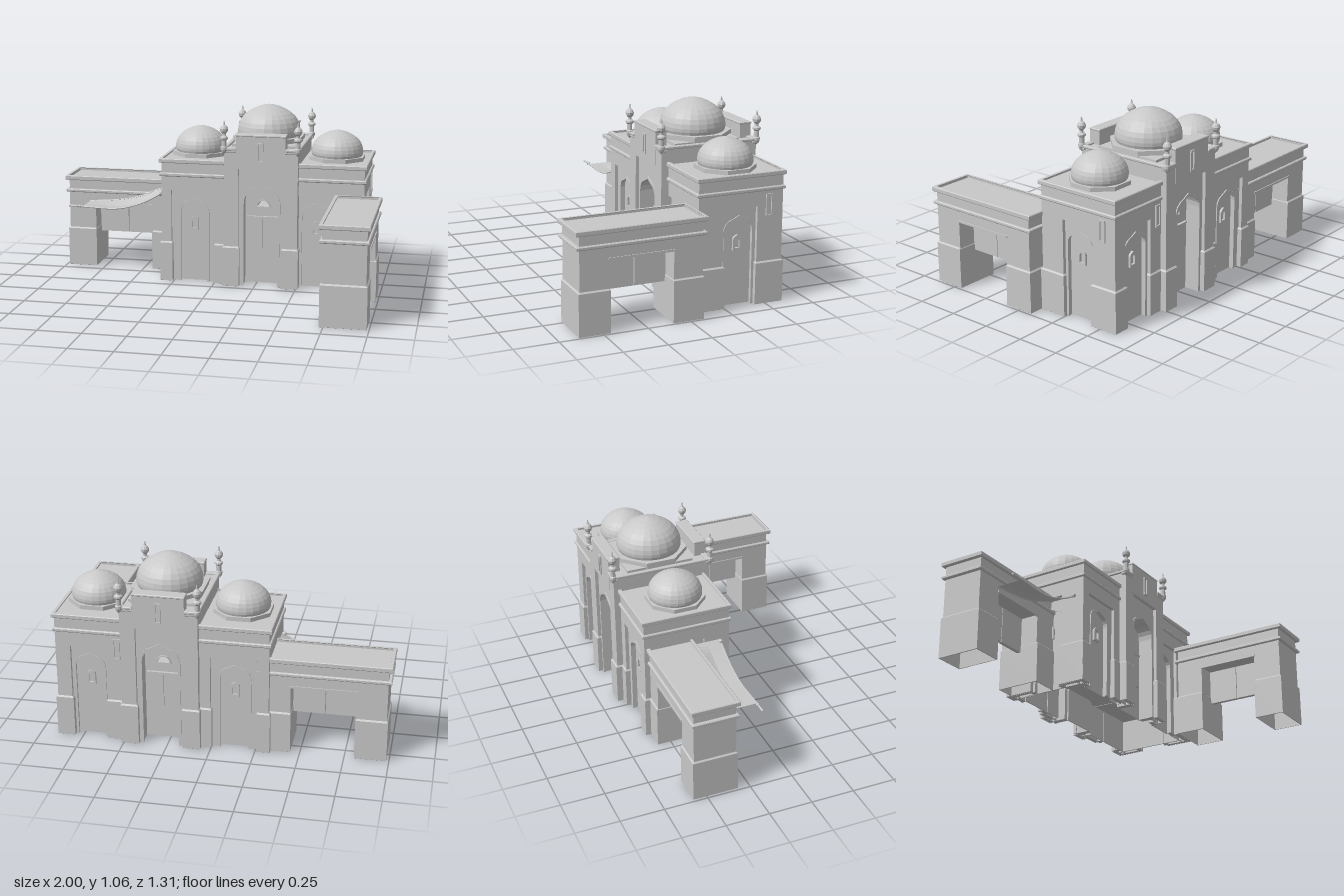
import * as THREE from 'three';

const stone = new THREE.MeshStandardMaterial({ color: 0xc8c8c8, flatShading: true, side: THREE.DoubleSide });
stone.name = 'grey stone';
const FLOOR = 0.2; // the base is an open shell below this height

function add(parent, name, geometry, x = 0, y = 0, z = 0) {
  const m = new THREE.Mesh(geometry, stone);
  m.name = name;
  m.position.set(x, y, z);
  parent.add(m);
  return m;
}

// box given by its extents
function block(parent, name, x0, x1, y0, y1, z0, z1) {
  add(parent, name, new THREE.BoxGeometry(x1 - x0, y1 - y0, z1 - z0), (x0 + x1) / 2, (y0 + y1) / 2, (z0 + z1) / 2);
}

function group(parent, name, x, z, turn = 0) {
  const g = new THREE.Group();
  g.name = name;
  g.position.set(x, 0, z);
  g.rotation.y = turn;
  parent.add(g);
  return g;
}

const extrude = (shape, depth) => new THREE.ExtrudeGeometry(shape, { depth, bevelEnabled: false });
const points = list => list.map(p => new THREE.Vector2(p[0], p[1]));
const plan = (x0, x1, z0, z1, i) => points([[x0 + i, -z0 - i], [x1 - i, -z0 - i], [x1 - i, -z1 + i], [x0 + i, -z1 + i]]);

// chamfered flat slab, or an open rim when t is given
function slab(parent, name, x0, x1, y0, y1, z0, z1, b = 0.005, t = 0) {
  const s = new THREE.Shape(plan(x0, x1, z0, z1, b));
  if (t) s.holes.push(new THREE.Path(plan(x0, x1, z0, z1, t - b)));
  const g = new THREE.ExtrudeGeometry(s, { depth: y1 - y0 - 2 * b, bevelSize: b, bevelThickness: b, bevelSegments: 1 });
  add(parent, name, g, 0, y0 + b, 0).rotation.x = -Math.PI / 2;
}

// hollow plinth with a chamfered top
function plinth(parent, x0, x1, z0, z1) {
  slab(parent, 'plinth', x0, x1, 0, 0.236, z0, z1, 0.001, 0.007);
  slab(parent, 'plinthCap', x0, x1, 0.22, 0.244, z0, z1, 0.008);
}

// pointed arch outline from bottom left to bottom right
function archPath(c, half, base, spring, apex) {
  const d = apex - spring;
  const side = [[1, 0], [0.96, 0.28], [0.85, 0.5], [0.65, 0.68], [0.32, 0.82]];
  const up = side.map(([u, v]) => [c - u * half, spring + v * d]);
  const down = side.map(([u, v]) => [c + u * half, spring + v * d]).reverse();
  return [[c - half, base], ...up, [c, apex], ...down, [c + half, base]];
}
const rectPath = (c, half, base, top) => [[c - half, base], [c - half, top], [c + half, top], [c + half, base]];

// wall with one opening that reaches its lower edge
const notched = (u0, u1, h, path) =>
  new THREE.Shape(points([[u0, path[0][1]], ...path, [u1, path[0][1]], [u1, h], [u0, h]]));

// raised border around an outline
function border(parent, name, outer, inner, z, depth) {
  const s = new THREE.Shape(points(outer));
  s.holes.push(new THREE.Path(points(inner)));
  add(parent, name, extrude(s, depth), 0, 0, z);
}

// stepped facade: outer wall, recessed panel, recessed arch and plinths; z = 0 is the wall face
function facade(g, { u0, u1, h, c, panel, top, arch, spring, apex, deep }) {
  const back = -0.02 - deep;
  add(g, 'outerWall', extrude(notched(u0, u1, h, rectPath(c, panel, 0, top)), 0.02), 0, 0, -0.02);
  add(g, 'archWall', extrude(notched(Math.max(u0, c - panel - 0.01), Math.min(u1, c + panel + 0.01), top + 0.01,
    archPath(c, arch, 0, spring, apex)), deep), 0, 0, back);
  block(g, 'nicheBack', c - arch - 0.01, c + arch + 0.01, 0, FLOOR + 0.01, back - 0.008, back);
  const strip = [...archPath(c, arch + 0.008, 0, spring, apex + 0.01),
    ...archPath(c, arch - 0.006, 0, spring, apex - 0.008).reverse()];
  add(g, 'archMoulding', extrude(new THREE.Shape(points(strip)), 0.014), 0, 0, -0.028);
  for (const [a, b] of [[u0 - 0.008, c - panel + 0.008], [c + panel - 0.008, u1 + 0.008]]) {
    if (b - a > 0.03) plinth(g, a, b, -0.05, 0.009);
  }
}

function slit(g, c, half, y0, y1, z) {
  border(g, 'slitFrame', rectPath(c, half, y0, y1), rectPath(c, half - 0.007, y0 + 0.009, y1 - 0.009), z, 0.01);
}

function dome(parent, name, x, z, y, r, h, base) {
  const ring = base / Math.cos(Math.PI / 8);
  add(parent, name + 'Base', new THREE.CylinderGeometry(ring, ring, 0.024, 8), x, y, z).rotation.y = Math.PI / 8;
  const profile = [[0.96, 0], [0.995, 0.1], [1, 0.2], [0.975, 0.34], [0.92, 0.48], [0.83, 0.61], [0.7, 0.73],
    [0.54, 0.83], [0.36, 0.915], [0.17, 0.97], [0, 1]].map(([a, b]) => new THREE.Vector2(a * r, b * h));
  add(parent, name, new THREE.LatheGeometry(profile, 24), x, y + 0.01, z);
}

// side hall with bands, roof and dome
function hall(parent, name, x0, x1, domeX) {
  const g = group(parent, name, 0, 0);
  block(g, 'core', x0 + 0.045, x1 - 0.045, FLOOR, 0.735, -0.555, -0.135);
  block(g, 'roof', x0, x1, 0.56, 0.74, -0.6, -0.09);
  slab(g, 'lowerBand', x0 - 0.011, x1 + 0.011, 0.645, 0.667, -0.611, -0.079);
  slab(g, 'cornice', x0 - 0.014, x1 + 0.014, 0.727, 0.753, -0.612, -0.078, 0.004, 0.024);
  dome(g, 'sideDome', domeX, -0.34, 0.756, 0.155, 0.154, 0.16);
}

// gate wing along local x, centred on its gate
function wing(parent, name, x, z, turn) {
  const g = group(parent, name, x, z, turn);
  add(g, 'wingWall', extrude(notched(-0.352, 0.352, 0.56, rectPath(0, 0.183, 0.225, 0.41)), 0.244), 0, 0, -0.122);
  for (const s of [-1, 1]) {
    plinth(g, s > 0 ? 0.18 : -0.36, s > 0 ? 0.36 : -0.18, -0.13, 0.13);
    block(g, 'gateLeaf', s > 0 ? 0.002 : -0.184, s > 0 ? 0.184 : -0.002, 0.2, 0.41, -0.012, 0.012);
    block(g, 'gateLintel', -0.19, 0.19, 0.4, 0.412, s * 0.122 - 0.005, s * 0.122 + 0.005);
  }
  slab(g, 'wingBand', -0.371, 0.371, 0.47, 0.491, -0.135, 0.135);
  slab(g, 'wingCornice', -0.374, 0.374, 0.547, 0.575, -0.139, 0.139, 0.004, 0.024);
}

function portal(parent) {
  const g = group(parent, 'portal', 0.285, -0.341);
  const w = 0.22, d = 0.295;
  const lunette = [[-0.036, 0.472], [-0.031, 0.49], [-0.018, 0.503], [0, 0.509], [0.018, 0.503], [0.031, 0.49], [0.036, 0.472]];
  const body = new THREE.Shape(points([[-w, FLOOR], [w, FLOOR], [w, 0.83], [-w, 0.83]]));
  body.holes.push(new THREE.Path(points(lunette)));
  add(g, 'core', extrude(body, 2 * (d - 0.11)), 0, 0, -d + 0.11);
  for (const s of [1, -1]) {
    const f = group(g, s > 0 ? 'portalFront' : 'portalBack', 0, s * d, s > 0 ? 0 : Math.PI);
    facade(f, { u0: -w, u1: w, h: 0.83, c: 0, panel: 0.134, top: 0.715, arch: 0.108, spring: 0.51, apex: 0.615, deep: 0.09 });
    block(f, 'upperWall', -w, w, 0.716, 0.83, -0.11, -0.001);
    border(f, 'lunetteFrame', lunette.map(([a, b]) => [a * 1.25, (b - 0.487) * 1.3 + 0.487]), lunette, -0.11, 0.01);
    for (const e of [-0.047, 0.047]) block(f, 'doorLeaf', e - 0.045, e + 0.045, 0.2, 0.405, -0.11, -0.1);
    block(f, 'doorLintel', -0.096, 0.096, 0.402, 0.412, -0.11, -0.094);
    // raised centre above the arch
    block(f, 'parapet', -0.146, 0.146, 0.72, 0.915, -0.065, 0.003);
    slab(f, 'parapetCap', -0.149, 0.149, 0.908, 0.922, -0.068, 0.006, 0.004);
    slit(f, 0, 0.018, 0.757, 0.875, 0.001);
    for (const e of [-1, 1]) {
      const [a, b, r] = e > 0 ? [0.146, 0.23, 0.205] : [-0.23, -0.146, -0.23];
      block(f, 'portalFlank', e > 0 ? 0.134 : -w, e > 0 ? w : -0.134, FLOOR, 0.83, -0.11, -0.001);
      slab(f, 'frontCornice', a, b, 0.825, 0.842, -0.025, 0.01, 0.004);
      slab(f, 'corniceStep', a, b, 0.812, 0.828, -0.025, 0.005, 0.004);
      if (s > 0) slab(g, 'sideCornice', r, r + 0.025, 0.825, 0.842, -d - 0.01, d + 0.01, 0.004);
      minaret(g, e * 0.219, s * (d + 0.002));
    }
  }
  block(g, 'domePlinth', -0.19, 0.19, 0.83, 0.845, -0.2, 0.2);
  add(g, 'drum', new THREE.CylinderGeometry(0.21, 0.21, 0.04, 8), 0, 0.848, 0).rotation.y = Math.PI / 8;
  dome(g, 'mainDome', 0, 0, 0.863, 0.189, 0.19, 0.205);
}

function minaret(parent, x, z) {
  const p = points([[0, 0.8], [0.014, 0.815], [0.02, 0.83], [0.02, 0.845], [0.015, 0.85], [0.015, 0.885], [0.024, 0.893],
    [0.024, 0.903], [0.011, 0.913], [0.011, 0.925], [0.022, 0.937], [0.025, 0.953], [0.018, 0.967], [0.007, 0.976],
    [0.005, 0.985], [0.003, 1.0], [0, 1.002]]);
  add(parent, 'minaret', new THREE.LatheGeometry(p, 10), x, 0, z);
}

// sagging cloth between the hall and an outrigger pole
function awning(parent) {
  const g = group(parent, 'awning', 0, 0);
  const edge = (z, lift) => new THREE.CatmullRomCurve3([[-0.325, 0.535], [-0.4, 0.49 + lift], [-0.49, 0.449 + lift],
    [-0.62, 0.417 + lift], [-0.84, 0.42]].map(([x, y]) => new THREE.Vector3(x, y, z)));
  const curves = [edge(-0.145, 0), edge(-0.225, 0), edge(-0.305, 0.024)];
  const n = 14, pos = [], idx = [];
  curves.forEach((c, j) => c.getPoints(n).forEach((p, i) => {
    pos.push(p.x, p.y, p.z);
    const a = j * (n + 1) + i, b = a + n + 1;
    if (i < n && j < 2) idx.push(a, a + 1, b, b, a + 1, b + 1);
  }));
  const cloth = new THREE.BufferGeometry();
  cloth.setAttribute('position', new THREE.Float32BufferAttribute(pos, 3));
  cloth.setIndex(idx);
  cloth.computeVertexNormals();
  add(g, 'cloth', cloth);
  for (const c of [curves[0], curves[2]]) add(g, 'clothEdge', new THREE.TubeGeometry(c, 16, 0.005, 6));
  add(g, 'pole', new THREE.CylinderGeometry(0.006, 0.006, 0.09, 8), -0.88, 0.422, -0.147).rotation.z = Math.PI / 2;
  for (const [x, y, r] of [[-0.855, 0.422, 0.01], [-0.34, 0.53, 0.013]]) add(g, 'knob', new THREE.SphereGeometry(r, 8, 6), x, y, -0.147);
}

export function createModel() {
  const model = new THREE.Group();
  model.name = 'domedBuilding';
  hall(model, 'rightHall', -0.325, 0.1, -0.135);
  hall(model, 'leftHall', 0.465, 0.89, 0.7);
  const arch = { h: 0.735, top: 0.56, arch: 0.086, spring: 0.43, apex: 0.508, deep: 0.025 };
  // x, z, turn, wall start, wall end, arch centre, panel half width, slit centre
  for (const [x, z, turn, u0, u1, c, panel, slitAt] of [
    [0, -0.09, 0, -0.325, 0.1, -0.13, 0.135],
    [0, -0.09, 0, 0.465, 0.89, 0.605, 0.135],
    [0, -0.6, Math.PI, -0.1, 0.325, 0.13, 0.135],
    [0, -0.6, Math.PI, -0.89, -0.465, -0.7, 0.105, -0.535],
    [0.89, 0, Math.PI / 2, 0.09, 0.6, 0.342, 0.103, 0.515],
    [-0.325, 0, -Math.PI / 2, -0.6, -0.09, -0.342, 0.103]]) {
    const g = group(model, 'hallFacade', x, z, turn);
    facade(g, { ...arch, u0, u1, c, panel });
    border(g, 'windowFrame', archPath(c, 0.026, 0.315, 0.37, 0.403), archPath(c, 0.014, 0.328, 0.365, 0.385), -0.046, 0.014);
    if (slitAt) slit(g, slitAt, 0.02, 0.5, 0.625, -0.002);
  }
  portal(model);
  wing(model, 'rightWing', -0.625, -0.448, 0);
  wing(model, 'leftWing', 0.857, 0.277, Math.PI / 2);
  awning(model);
  return model;
}
